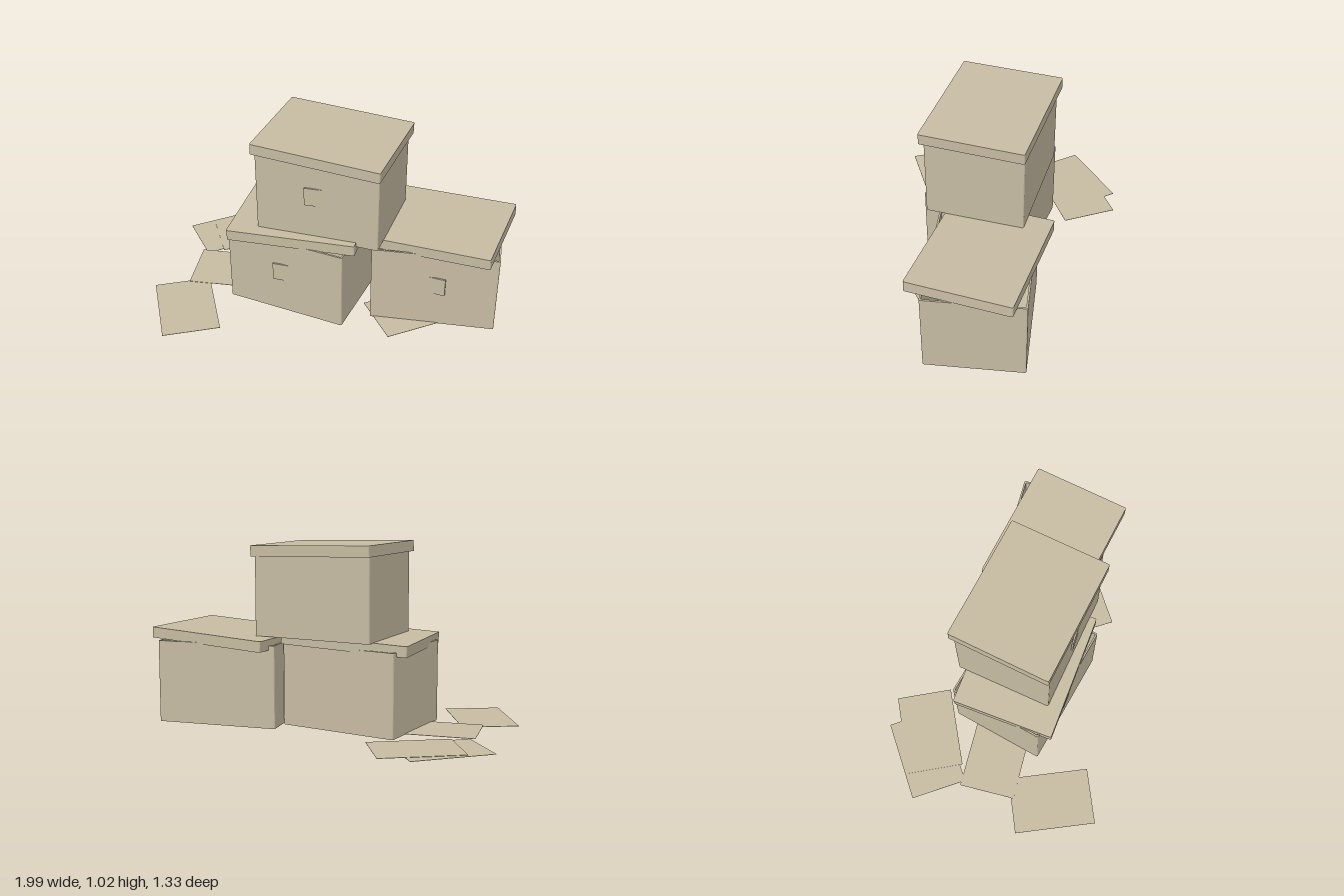
import * as THREE from 'three';

const card = new THREE.MeshStandardMaterial({ color: 0xc6bba2 });
card.name = 'cardboard';

const BODY = { w: 0.687, d: 0.54, h: 0.46 };
const LID = { w: 0.722, d: 0.572, h: 0.06 };
const WALL = 0.01;

// Rounded rectangle outline centred on the origin
function roundedRect(target, w, d, r) {
  const x = w / 2, y = d / 2;
  target.moveTo(-x + r, -y);
  target.lineTo(x - r, -y);
  target.quadraticCurveTo(x, -y, x, -y + r);
  target.lineTo(x, y - r);
  target.quadraticCurveTo(x, y, x - r, y);
  target.lineTo(-x + r, y);
  target.quadraticCurveTo(-x, y, -x, y - r);
  target.lineTo(-x, -y + r);
  target.quadraticCurveTo(-x, -y, -x + r, -y);
  return target;
}

// Upright extrusion standing on y = 0
function extrudeUp(shape, height) {
  const geo = new THREE.ExtrudeGeometry(shape, { depth: height, bevelEnabled: false, curveSegments: 3 });
  return geo.rotateX(-Math.PI / 2);
}

// Thin-walled tray: four walls and one closing panel, at the bottom or the top
function tray(name, { w, d, h }, panelOnTop) {
  const group = new THREE.Group();
  group.name = name;
  const ring = roundedRect(new THREE.Shape(), w, d, 0.01);
  ring.holes.push(roundedRect(new THREE.Path(), w - 2 * WALL, d - 2 * WALL, 0.004));
  const walls = new THREE.Mesh(extrudeUp(ring, h - WALL), card);
  walls.name = name + 'Walls';
  walls.position.y = panelOnTop ? 0 : WALL;
  const panel = new THREE.Mesh(extrudeUp(roundedRect(new THREE.Shape(), w, d, 0.01), WALL), card);
  panel.name = name + 'Panel';
  panel.position.y = panelOnTop ? h - WALL : 0;
  group.add(walls, panel);
  return group;
}

// Storage box: open body, skewed label plate on the front, loose tilted lid
function storageBox({ name, x, y, z, turn, lidTurn, lidY, tilt, labelTurn }) {
  const box = new THREE.Group();
  box.name = name;

  const body = tray('body', BODY, false);
  body.position.set(x, y, z);
  body.rotation.y = turn;
  const label = new THREE.Mesh(new THREE.BoxGeometry(0.13, 0.105, 0.009), card);
  label.name = 'labelPlate';
  label.position.set(0, 0.262, BODY.d / 2 + 0.001);
  label.rotation.y = labelTurn;
  body.add(label);

  const lid = tray('lid', LID, true);
  lid.position.set(x, lidY, z);
  lid.rotation.order = 'YXZ';
  lid.rotation.set(0, lidTurn, tilt);

  box.add(body, lid);
  return box;
}

export function createModel() {
  const model = new THREE.Group();
  model.name = 'storageBoxes';

  // Two boxes on the floor and one on top
  const boxes = [
    { name: 'leftBox', x: -0.151, y: 0.005, z: 0.029, turn: -0.19, lidTurn: -0.044, lidY: 0.455, tilt: 0.042, labelTurn: 0.15 },
    { name: 'rightBox', x: 0.597, y: 0.005, z: -0.049, turn: 0.065, lidTurn: -0.15, lidY: 0.455, tilt: 0.042, labelTurn: -0.2 },
    { name: 'topBox', x: 0.005, y: 0.505, z: -0.002, turn: -0.11, lidTurn: -0.14, lidY: 0.95, tilt: -0.028, labelTurn: 0.12 },
  ];
  boxes.forEach((b) => model.add(storageBox(b)));

  // Loose sheets: centre x, centre z, direction of the long side, height
  const sheets = [
    [-0.72, -0.389, 0.365, -0.28, 0.003],
    [-0.594, -0.42, -0.88, 0.48, 0.006],
    [-0.599, 0.001, 0.997, -0.075, 0.009],
    [-0.757, 0.388, 0.2, 0.415, 0.0015],
    [0.497, 0.135, 0.81, -0.59, 0.009],
  ];
  const sheetGeo = new THREE.BoxGeometry(0.46, 0.002, 0.318);
  for (const [x, z, dx, dz, y] of sheets) {
    const sheet = new THREE.Mesh(sheetGeo, card);
    sheet.name = 'paperSheet';
    sheet.position.set(x, y, z);
    sheet.rotation.y = Math.atan2(-dz, dx);
    model.add(sheet);
  }
  return model;
}
